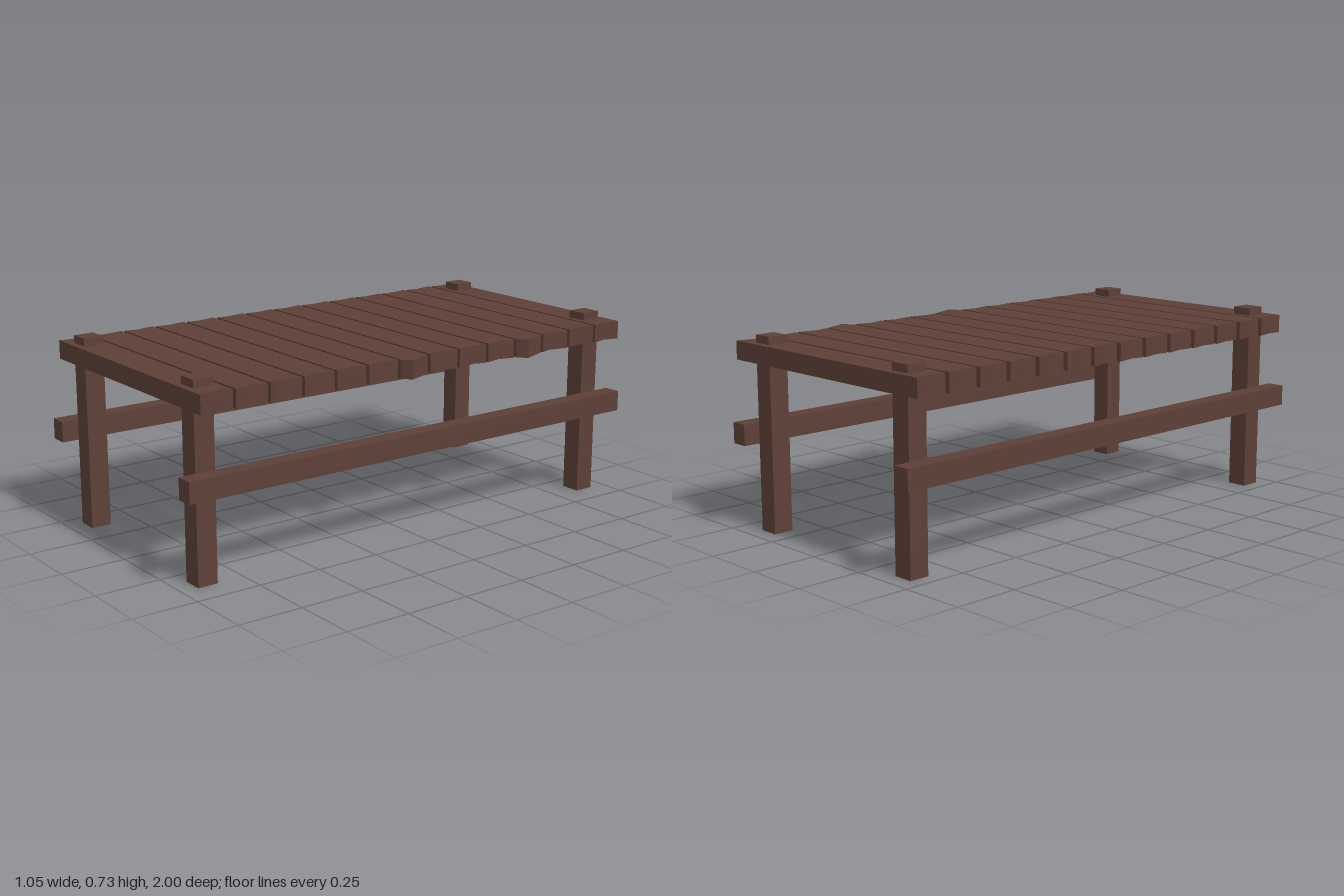
import * as THREE from 'three';

export function createModel() {
  const model = new THREE.Group();
  const wood = new THREE.MeshStandardMaterial({ color: 0x5d4037 });
  wood.name = 'darkWood';

  // Box given by its lower and upper limits on each axis
  function beam(name, [x0, x1], [y0, y1], [z0, z1]) {
    const mesh = new THREE.Mesh(new THREE.BoxGeometry(x1 - x0, y1 - y0, z1 - z0), wood);
    mesh.position.set((x0 + x1) / 2, (y0 + y1) / 2, (z0 + z1) / 2);
    mesh.name = name;
    model.add(mesh);
  }

  // Posts rising through the deck, and the long side rails outside them
  for (const [side, post, rail] of [
    ['right', [-0.445, -0.367], [-0.515, -0.447]],
    ['left', [0.32, 0.398], [0.398, 0.465]],
  ]) {
    beam(side + 'FrontPost', post, [0, 0.733], [0.857, 0.935]);
    beam(side + 'BackPost', post, [0, 0.733], [-0.935, -0.857]);
    beam(side + 'Rail', rail, [0.33, 0.409], [-1, 1]);
  }

  // Deck planks with rough-sawn ends
  const count = 14, width = 0.126, thickness = 0.07, pitch = 0.1382;
  const deck = new THREE.Group();
  deck.name = 'deck';
  for (let i = 0; i < count; i++) {
    const splintered = i === 3 || i === 7;
    const notch = [0.5, 0.35, 0.65, 0.75][i % 4];
    const shape = new THREE.Shape();
    const at = (x, t) => [x, (t - 0.5) * width];
    shape.moveTo(...at(-0.523, 0));
    shape.lineTo(...at(0.485, 0));
    shape.lineTo(...(splintered ? at(0.522, 0.78) : at(0.469, notch)));
    shape.lineTo(...at(0.485, 1));
    shape.lineTo(...at(-0.516, 1));
    shape.lineTo(...at(-0.508, 0.6));
    shape.closePath();
    const geometry = new THREE.ExtrudeGeometry(shape, { depth: thickness, bevelEnabled: false });
    geometry.rotateX(Math.PI / 2);
    const plank = new THREE.Mesh(geometry, wood);
    plank.position.set(0, 0.704, (i - (count - 1) / 2) * pitch);
    plank.name = 'plank' + (i + 1);
    deck.add(plank);
  }
  model.add(deck);
  return model;
}
